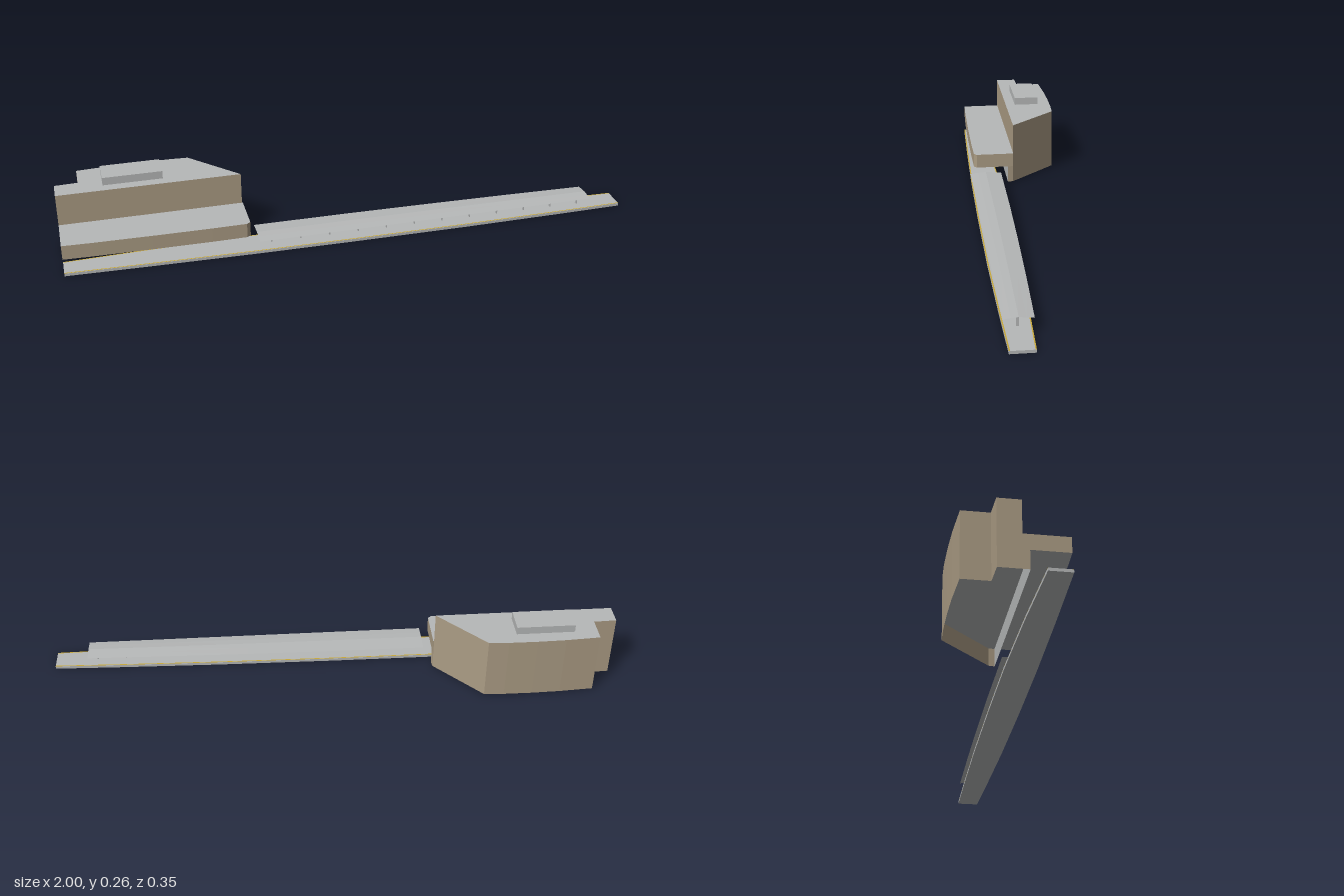
import * as THREE from 'three';

const grey = new THREE.MeshStandardMaterial({ color: 0xb6b8b8, side: THREE.DoubleSide });
grey.name = 'concreteGrey';
const tan = new THREE.MeshStandardMaterial({ color: 0xab9c84, side: THREE.DoubleSide });
tan.name = 'facadeTan';
const yellow = new THREE.MeshStandardMaterial({ color: 0xc8a838, side: THREE.DoubleSide });
yellow.name = 'edgeYellow';

// Upright prism over a plan outline of [x, z] points
function prism(name, plan, y0, y1, capMat, sideMat) {
  const shape = new THREE.Shape(plan.map(([x, z]) => new THREE.Vector2(x, -z)));
  const geo = new THREE.ExtrudeGeometry(shape, { depth: y1 - y0, bevelEnabled: false });
  geo.rotateX(-Math.PI / 2).translate(0, y0, 0);
  const mesh = new THREE.Mesh(geo, [capMat, sideMat]);
  mesh.name = name;
  return mesh;
}

// Flat-shaded sheet between neighbouring rows of [x, y, z] points
function sheet(name, rows, mat) {
  const pos = [];
  for (let r = 0; r < rows.length - 1; r++) {
    for (let i = 0; i < rows[r].length - 1; i++) {
      const a = rows[r][i], b = rows[r][i + 1], c = rows[r + 1][i + 1], d = rows[r + 1][i];
      pos.push(...a, ...b, ...c, ...a, ...c, ...d);
    }
  }
  const geo = new THREE.BufferGeometry();
  geo.setAttribute('position', new THREE.Float32BufferAttribute(pos, 3));
  geo.computeVertexNormals();
  const mesh = new THREE.Mesh(geo, mat);
  mesh.name = name;
  return mesh;
}

// Open wall following a plan line
function wall(name, plan, y0, y1, mat) {
  return sheet(name, [y0, y1].map((y) => plan.map(([x, z]) => [x, y, z])), mat);
}

// Linear interpolation along a plan line
function zAt(line, x) {
  let i = 0;
  while (i < line.length - 2 && x > line[i + 1][0]) i++;
  const [x0, z0] = line[i], [x1, z1] = line[i + 1];
  return z0 + (z1 - z0) * (x - x0) / (x1 - x0);
}

function createModel() {
  const model = new THREE.Group();
  model.name = 'railwayStation';

  // Station building: closed upper storeys on an open ground floor
  const building = new THREE.Group();
  building.name = 'stationBuilding';
  const back = [
    [-0.37, 0.002], [-0.53, -0.17], [-0.6, -0.174], [-0.7, -0.175],
    [-0.8, -0.173], [-0.92, -0.166], [-0.92, -0.075], [-1, -0.072], [-1, 0.002],
  ];
  building.add(prism('upperStoreys', back, 0.063, 0.228, grey, tan));
  building.add(wall('groundWalls', [[-0.367, 0.023], ...back, [-1, 0.023]], 0, 0.063, tan));
  building.add(wall('groundFront', [[-1, 0.023], [-0.367, 0.023]], 0, 0.063, grey));

  // Overhanging front storey
  const overhang = [
    [-1, 0.002], [-1, 0.144], [-0.9, 0.148], [-0.7, 0.152],
    [-0.5, 0.154], [-0.38, 0.153], [-0.367, 0.143], [-0.367, 0.002],
  ];
  building.add(prism('overhang', overhang, 0.063, 0.115, grey, tan));

  const roofBox = new THREE.Mesh(new THREE.BoxGeometry(0.205, 0.028, 0.093), grey);
  roofBox.name = 'roofBox';
  roofBox.position.set(-0.737, 0.242, -0.081);
  building.add(roofBox);
  model.add(building);

  // Long, gently bent platform with painted edges
  const platform = new THREE.Group();
  platform.name = 'platform';
  const front = [[-1, 0.147], [-0.7, 0.157], [-0.35, 0.166], [0, 0.171], [0.4, 0.173], [0.75, 0.17], [1, 0.166]];
  const rear = [[-1, 0.072], [-0.7, 0.062], [-0.35, 0.057], [0, 0.06], [0.4, 0.067], [0.75, 0.077], [1, 0.086]];
  platform.add(prism('platformSlab', [...front, ...[...rear].reverse()], 0, 0.01, grey, grey));
  for (const [line, inward, name] of [[front, -0.004, 'frontEdgeStripe'], [rear, 0.004, 'rearEdgeStripe']]) {
    const row = (dz) => line.map(([x, z]) => [x, 0.0108, z + dz]);
    platform.add(sheet(name, [row(0), row(inward)], yellow));
  }
  model.add(platform);

  // Thin, shallow arched platform roof on a row of posts
  const shelter = new THREE.Group();
  shelter.name = 'platformShelter';
  const arch = [[0, 0.0485], [0.25, 0.051], [0.5, 0.0535], [0.75, 0.0515], [1, 0.0485]];
  const stations = [-0.34, 0, 0.3, 0.6, 0.88];
  const rearZ = (x) => zAt(rear, x) - 0.005;
  const rows = arch.map(([t, y]) => stations.map((x) => {
    const z0 = rearZ(x), z1 = Math.min(zAt(front, x) + 0.004, 0.171);
    return [x, y, z0 + (z1 - z0) * t];
  }));
  shelter.add(sheet('shelterRoof', rows, grey));

  const postGeo = new THREE.BoxGeometry(0.004, 0.042, 0.009);
  for (let i = 0; i < 12; i++) {
    const x = -0.29 + i * 0.1036;
    const post = new THREE.Mesh(postGeo, grey);
    post.name = 'shelterPost';
    post.position.set(x, 0.031, (zAt(front, x) + zAt(rear, x)) / 2);
    shelter.add(post);
  }
  model.add(shelter);

  return model;
}

export { createModel };
